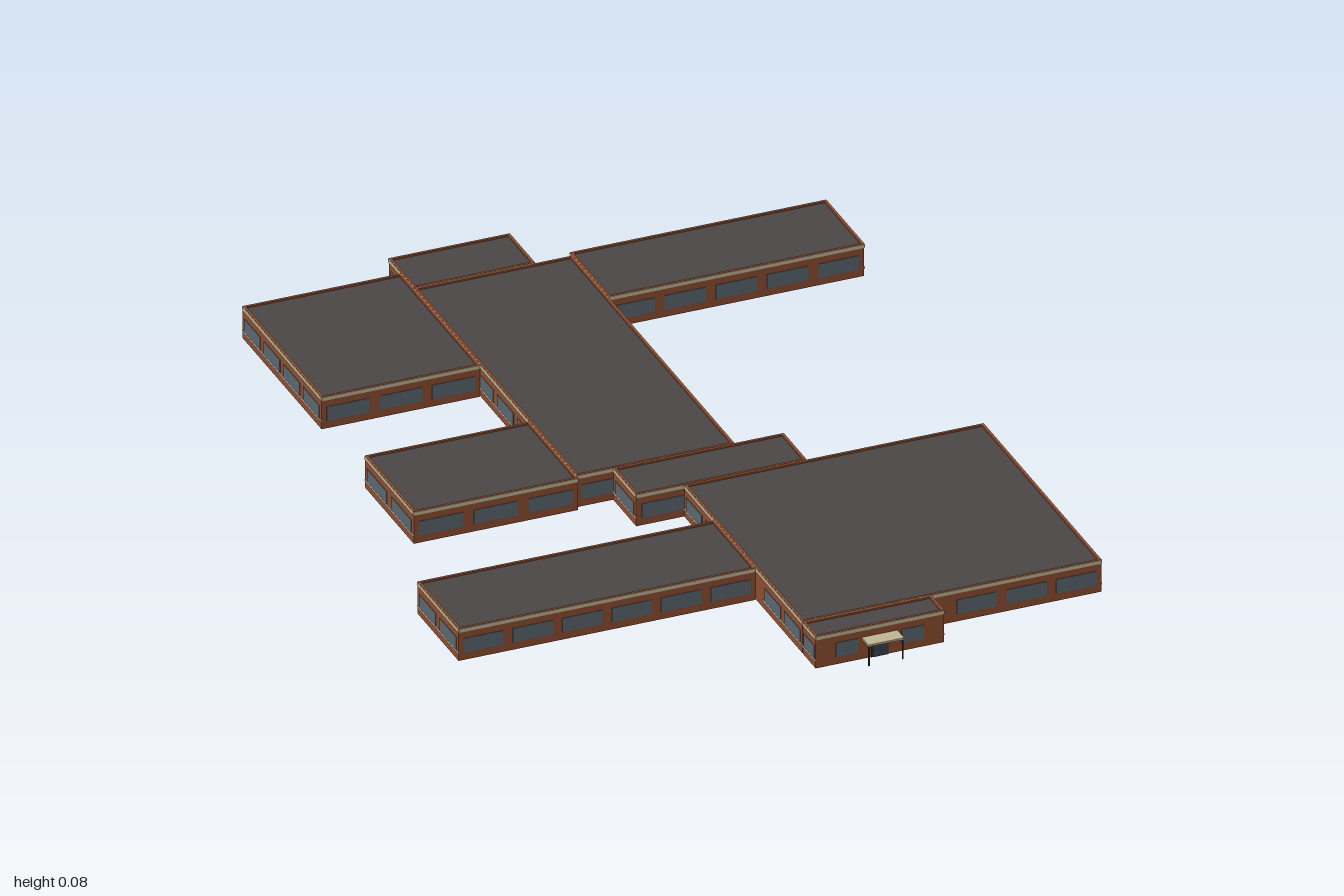
import * as THREE from 'three';

const mat = (name, color) => {
  const m = new THREE.MeshStandardMaterial({ color });
  m.name = name;
  return m;
};

const H = 0.082;      // wall height
const T = 0.006;      // wall thickness
const PITCH = 0.119;  // window spacing

// Blocks of the plan: name, x0, x1, z0, z1
const BLOCKS = [
  ['backAnnex', -0.245, 0.047, -1.0, -0.856],
  ['spineHall', -0.245, 0.136, -0.852, 0.076],
  ['backRightWing', -0.63, -0.247, -0.925, -0.473],
  ['backLeftWing', 0.138, 0.757, -0.868, -0.649],
  ['middleRightWing', -0.644, -0.247, -0.19, 0.089],
  ['linkHall', -0.156, 0.255, 0.078, 0.208],
  ['mainHall', -0.04, 0.683, 0.21, 0.886],
  ['frontRightWing', -0.76, -0.042, 0.386, 0.621],
  ['entranceHall', -0.04, 0.27, 0.889, 0.962],
];

export function createModel() {
  const brick = mat('brick', 0x8f4e30);
  const roofing = mat('roofing', 0x4b4846);
  const cream = mat('cream trim', 0xc2b797);
  const sillStone = mat('sill stone', 0xd6d0c4);
  const glass = mat('glass', 0x5c6670);
  const doorPaint = mat('door paint', 0x3a4450);
  const metal = mat('dark metal', 0x3a3532);
  const model = new THREE.Group();
  model.name = 'building';

  const box = (parent, name, material, w, h, d, x, y, z) => {
    const mesh = new THREE.Mesh(new THREE.BoxGeometry(w, h, d), material);
    mesh.name = name;
    mesh.position.set(x, y, z);
    parent.add(mesh);
    return mesh;
  };

  // True where a wall spot is covered by another block
  const covered = (x, z, self) => BLOCKS.some(([n, a, b, c, d]) =>
    n !== self && x > a && x < b && z > c && z < d);

  // One wall with its outer face on local z = 0
  const addWall = (parent, blockName, side, length, x, z, angle) => {
    const wall = new THREE.Group();
    wall.name = side + 'Wall';
    wall.position.set(x, 0, z);
    wall.rotation.y = angle;
    parent.add(wall);
    box(wall, 'brickwork', brick, length, H, T, 0, H / 2, -T / 2);
    box(wall, 'fascia', cream, length, 0.009, 0.002, 0, H - 0.0055, 0.0005);

    // Windows and sills where the wall is open to the outside
    const entrance = blockName === 'entranceHall' && side === 'front';
    const count = Math.max(1, Math.round(length / PITCH));
    const pitch = length / count;
    const spots = entrance ? [-0.08, 0.08]
      : Array.from({ length: count }, (_, i) => (i + 0.5 - count / 2) * pitch);
    const width = entrance ? 0.054 : pitch * 0.81;
    for (const s of spots) {
      const wx = x + s * Math.cos(angle) + 0.01 * Math.sin(angle);
      const wz = z - s * Math.sin(angle) + 0.01 * Math.cos(angle);
      if (covered(wx, wz, blockName)) continue;
      box(wall, 'window', glass, width, 0.036, 0.002, s, 0.037, 0.0005);
      if (side !== 'front') {
        box(wall, 'sill', sillStone, pitch, 0.004, 0.003, s, 0.02, 0.0005);
      }
    }
  };

  // Blocks: four walls around a recessed roof, open underneath
  for (const [name, x0, x1, z0, z1] of BLOCKS) {
    const block = new THREE.Group();
    block.name = name;
    model.add(block);
    const w = x1 - x0, d = z1 - z0, cx = (x0 + x1) / 2, cz = (z0 + z1) / 2;
    addWall(block, name, 'front', w, cx, z1, 0);
    addWall(block, name, 'back', w, cx, z0, Math.PI);
    addWall(block, name, 'left', d, x1, cz, Math.PI / 2);
    addWall(block, name, 'right', d, x0, cz, -Math.PI / 2);
    box(block, 'roof', roofing, w - 2 * T, 0.008, d - 2 * T, cx, 0.074, cz);
  }

  // Entrance: double door, canopy and posts
  const porch = new THREE.Group();
  porch.name = 'porch';
  porch.position.set(0.115, 0, 0.962);
  model.add(porch);
  box(porch, 'doorFrame', metal, 0.042, 0.043, 0.002, 0, 0.0215, 0.0005);
  box(porch, 'canopy', cream, 0.086, 0.005, 0.038, 0, 0.0525, 0.019);
  for (const s of [-1, 1]) {
    box(porch, 'doorLeaf', doorPaint, 0.017, 0.039, 0.002, s * 0.0092, 0.0195, 0.0015);
    box(porch, 'canopyPost', metal, 0.003, 0.05, 0.003, s * 0.041, 0.025, 0.0355);
  }
  return model;
}
